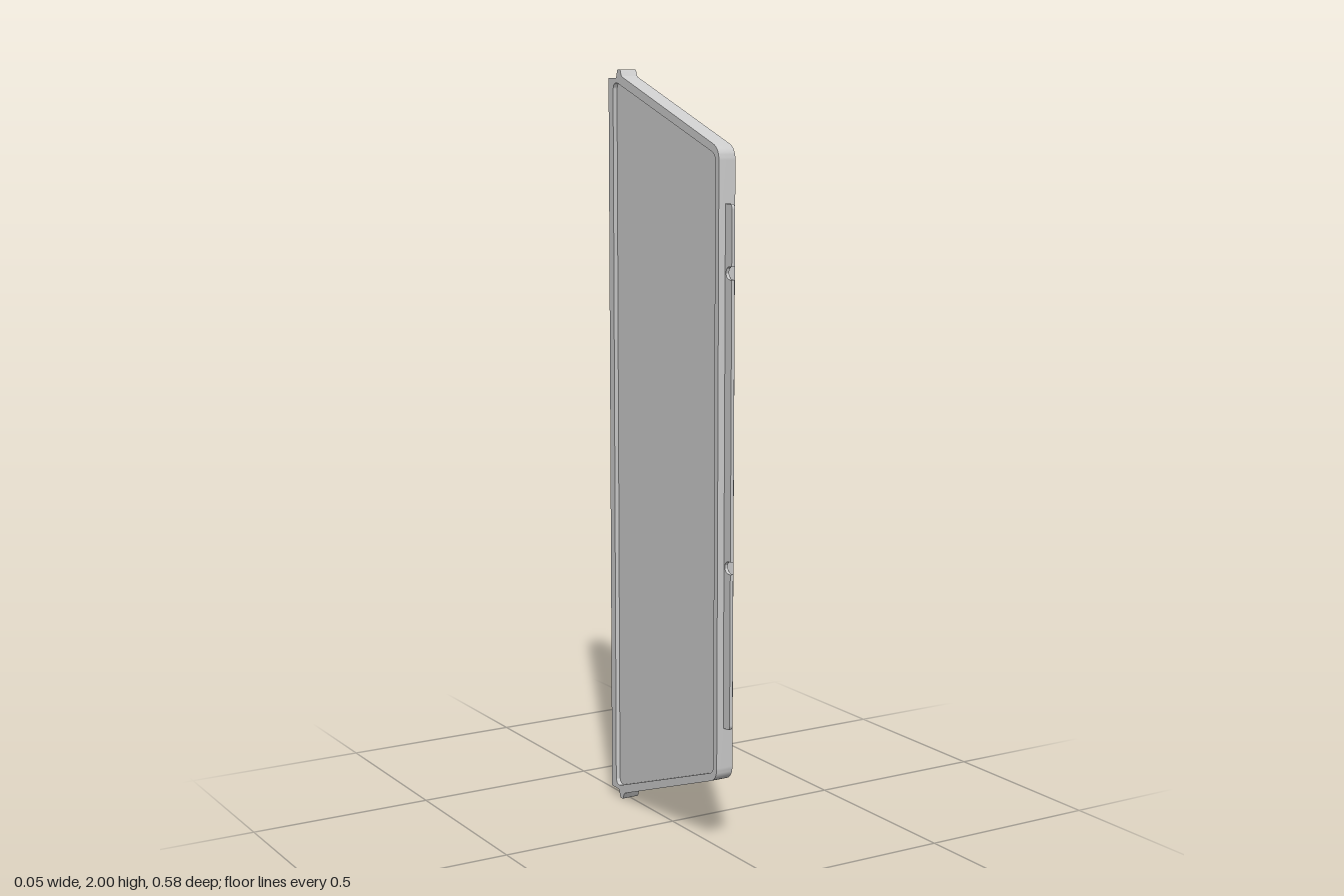
import * as THREE from 'three';
import { toCreasedNormals } from 'three/addons/utils/BufferGeometryUtils.js';

const material = new THREE.MeshStandardMaterial({ color: 0xcccccc });

// Traces a closed polygon of [z, y, cornerRadius] points, rounding its corners.
function trace(path, points) {
  const n = points.length;
  points.forEach(([z, y, r = 0], i) => {
    const p = new THREE.Vector2(z, y);
    const toward = (q) => {
      const d = new THREE.Vector2(q[0], q[1]).sub(p);
      return p.clone().addScaledVector(d.normalize(), r);
    };
    const a = toward(points[(i + n - 1) % n]);
    const b = toward(points[(i + 1) % n]);
    if (i === 0) path.moveTo(a.x, a.y);
    else path.lineTo(a.x, a.y);
    if (r > 0) path.quadraticCurveTo(p.x, p.y, b.x, b.y);
  });
  path.closePath();
  return path;
}

// Completes an upper half profile by mirroring it about y = 1.
const mirrored = (half) => [...half, ...half.map(([z, y, r]) => [z, 2 - y, r]).reverse()];

// Extrudes a side profile (z, y) to a given thickness centred on x = 0.
function slab(name, shape, thickness) {
  let geometry = new THREE.ExtrudeGeometry(shape, {
    depth: thickness, bevelEnabled: false, curveSegments: 8,
  });
  geometry.translate(0, 0, -thickness / 2);
  geometry.rotateY(-Math.PI / 2);
  geometry = toCreasedNormals(geometry, 0.6);
  const mesh = new THREE.Mesh(geometry, material);
  mesh.name = name;
  return mesh;
}

export function createModel() {
  const group = new THREE.Group();
  group.name = 'framedPanel';

  // Outer outline, with a small locating nub near the back at each end
  const outer = mirrored([
    [0.26, 1.806, 0.03],
    [-0.222, 1.982, 0.008],
    [-0.228, 2, 0.004],
    [-0.243, 2, 0.004],
    [-0.25, 1.978, 0.004],
    [-0.29, 1.978, 0],
  ]);
  // Edge of the recess on both faces
  const inner = mirrored([
    [0.243, 1.791, 0.018],
    [-0.266, 1.973, 0.03],
  ]);

  // Raised rim
  const frameShape = trace(new THREE.Shape(), outer);
  frameShape.holes.push(trace(new THREE.Path(), inner));
  group.add(slab('frame', frameShape, 0.048));

  // Recessed panel, the same on both sides
  group.add(slab('panel', trace(new THREE.Shape(), inner), 0.024));

  // Thin front tongue with two round-bottomed notches
  const tongue = new THREE.Shape();
  const [root, tip, r] = [0.255, 0.29, 0.016];
  tongue.moveTo(root, 0.33);
  tongue.lineTo(tip - 0.012, 0.33);
  tongue.quadraticCurveTo(tip, 0.33, tip, 0.342);
  for (const y of [0.755, 1.5]) {
    tongue.lineTo(tip, y - r);
    tongue.lineTo(0.28, y - r);
    tongue.absarc(0.28, y, r, -Math.PI / 2, Math.PI / 2, true);
    tongue.lineTo(tip, y + r);
  }
  tongue.lineTo(tip, 1.658);
  tongue.quadraticCurveTo(tip, 1.67, tip - 0.012, 1.67);
  tongue.lineTo(root, 1.67);
  group.add(slab('tongue', tongue, 0.009));

  return group;
}
